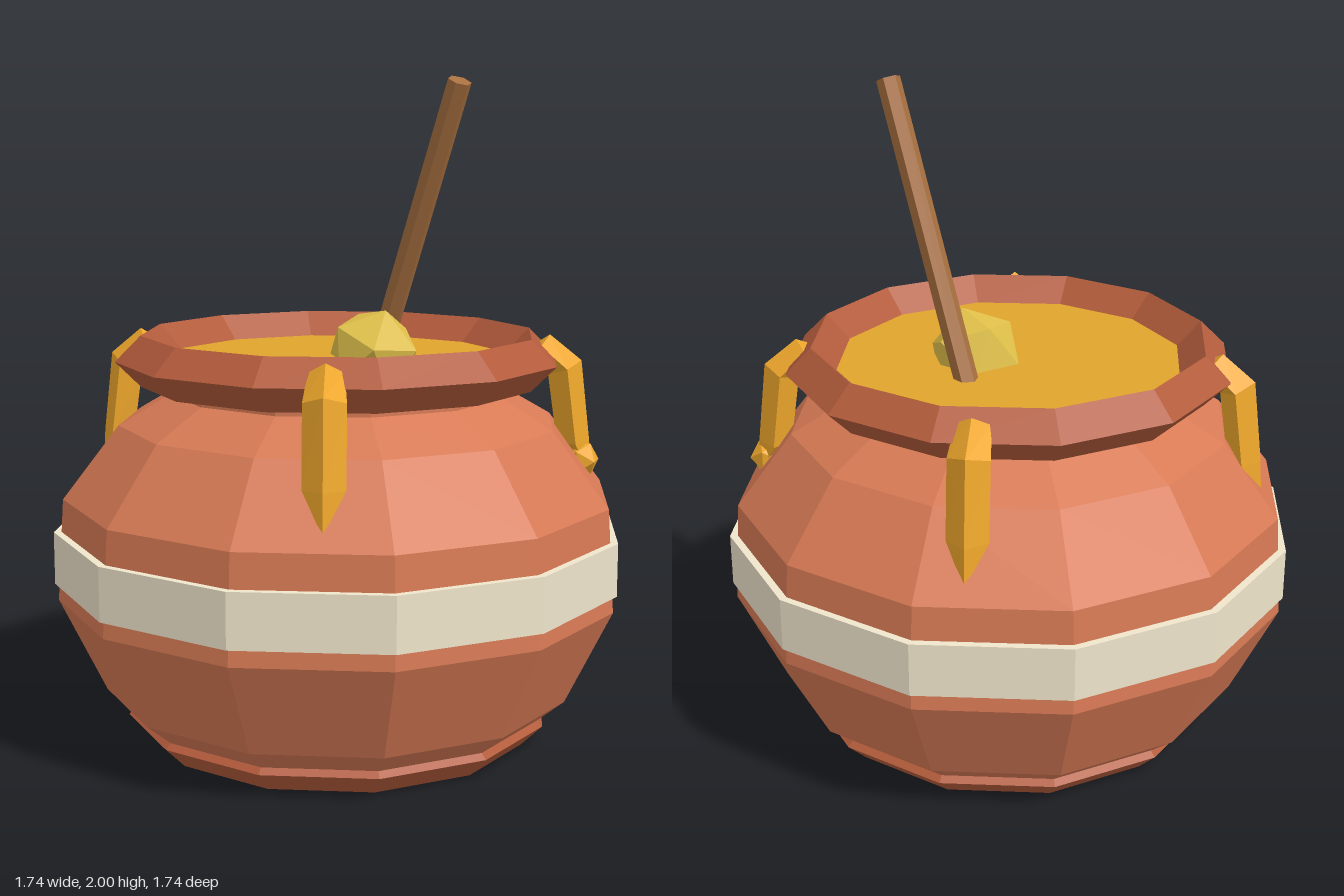
import * as THREE from 'three';

const SIDES = 12;

function material(color, side = THREE.FrontSide) {
  return new THREE.MeshStandardMaterial({ color, flatShading: true, side });
}

const clay = material(0xd87a55, THREE.DoubleSide);
const darkClay = material(0xb45c3c);
const cream = material(0xf0e5cc);
const broth = material(0xe0a42c);
const drop = material(0xf0a82c);
const lump = material(0xe0c04a);
const wood = material(0xa87040);

// Diamond-section drip bending over the rim and narrowing to a point; +z is outward.
function dripGeometry() {
  const rings = [ // radius, height, half width, half depth
    [0.61, 1.2, 0.05, 0.045],
    [0.69, 1.13, 0.06, 0.055],
    [0.72, 0.9, 0.06, 0.05],
    [0.775, 0.79, 0.002, 0.002],
  ];
  const tilt = [0.75, 0.4, 0.05, 0]; // how far each section leans upwards
  const positions = [];
  const index = [];
  rings.forEach(([r, y, w, d], i) => {
    for (let k = 0; k < 4; k++) {
      const a = (k * Math.PI) / 2;
      const out = Math.cos(a) * d;
      positions.push(Math.sin(a) * w, y + out * Math.sin(tilt[i]), r + out * Math.cos(tilt[i]));
    }
  });
  for (let i = 0; i < rings.length - 1; i++) {
    for (let k = 0; k < 4; k++) {
      const a = i * 4 + k, b = i * 4 + ((k + 1) % 4);
      index.push(a, a + 4, b, b, a + 4, b + 4);
    }
  }
  index.push(0, 1, 2, 0, 2, 3); // top cap
  const geometry = new THREE.BufferGeometry();
  geometry.setAttribute('position', new THREE.Float32BufferAttribute(positions, 3));
  geometry.setIndex(index);
  geometry.computeVertexNormals();
  return geometry;
}

export function createModel() {
  const model = new THREE.Group();
  const add = (name, geometry, mat, x = 0, y = 0, z = 0) => {
    const mesh = new THREE.Mesh(geometry, mat);
    mesh.name = name;
    mesh.position.set(x, y, z);
    model.add(mesh);
    return mesh;
  };

  // Pot wall, open at the bottom
  const profile = [
    [0.59, 0.06], [0.63, 0.075], [0.72, 0.15], [0.86, 0.44], [0.85, 0.6], [0.84, 0.75],
    [0.67, 0.97], [0.515, 1.06], [0.515, 1.09], [0.55, 1.15],
  ].map(([r, y]) => new THREE.Vector2(r, y));
  add('potBody', new THREE.LatheGeometry(profile, SIDES), clay);

  // Diamond-section rings at the mouth and the foot
  const ring = (name, radius, tube, y) =>
    add(name, new THREE.TorusGeometry(radius, tube, 4, SIDES).rotateX(Math.PI / 2), darkClay, 0, y, 0);
  ring('rim', 0.6, 0.077, 1.162);
  ring('foot', 0.59, 0.065, 0.065);

  // Solid band around the belly
  add('band', new THREE.CylinderGeometry(0.87, 0.87, 0.16, SIDES), cream, 0, 0.57, 0);

  // Contents
  add('soup', new THREE.CylinderGeometry(0.545, 0.5, 0.1, SIDES), broth, 0, 1.115, 0);
  const chunk = add('soupLump', new THREE.IcosahedronGeometry(0.145, 0), lump, 0.1, 1.175, -0.03);
  chunk.rotation.set(0.4, 0.5, 0.15);

  // Leaning stirring stick
  const top = new THREE.Vector3(0.375, 1.985, 0.005);
  const bottom = new THREE.Vector3(0.04, 1.09, -0.225);
  const axis = top.clone().sub(bottom);
  const stick = add('stirringStick', new THREE.CylinderGeometry(0.036, 0.036, axis.length(), 6), wood);
  stick.position.copy(top).add(bottom).multiplyScalar(0.5);
  stick.quaternion.setFromUnitVectors(new THREE.Vector3(0, 1, 0), axis.normalize());

  // Drips over the rim
  const drip = dripGeometry();
  [[0.2, 0.66], [0.66, -0.24], [-0.11, -0.68], [-0.7, 0.06]].forEach(([x, z]) => {
    add('drip', drip, drop).rotation.y = Math.atan2(x, z);
  });

  // Bead at the end of one drip
  add('dripBead', new THREE.IcosahedronGeometry(0.06, 0), drop, 0.7, 0.845, -0.245);

  return model;
}
